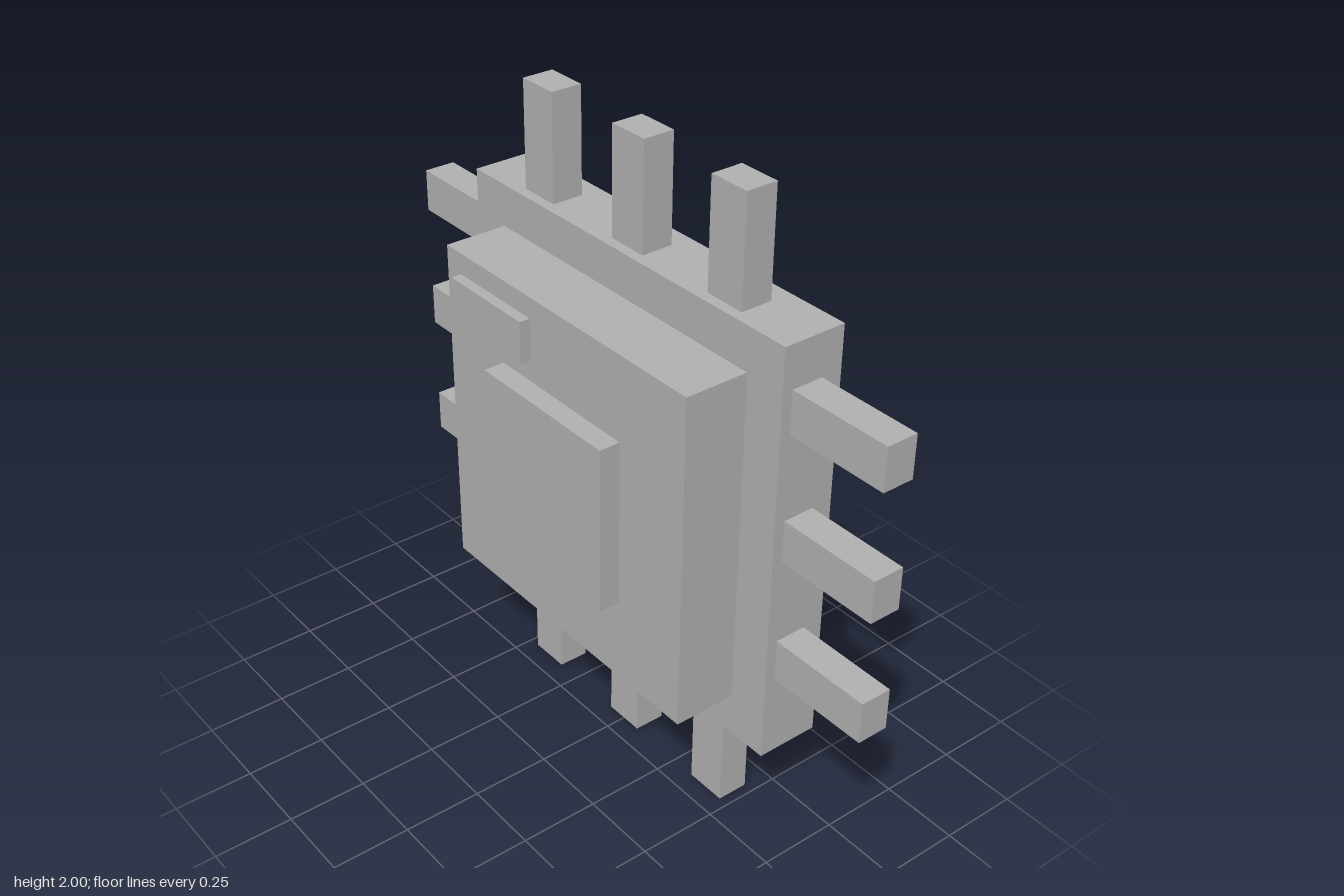
import * as THREE from 'three';

export function createModel() {
  const model = new THREE.Group();
  model.name = 'microchip';

  const grey = new THREE.MeshStandardMaterial({ color: 0xb0b0b0 });
  grey.name = 'grey';

  // All sizes are whole steps of a 1/15 grid
  const u = 1 / 15;
  const block = (name, [w, h, d], [x, y, z], parent = model) => {
    const mesh = new THREE.Mesh(new THREE.BoxGeometry(w * u, h * u, d * u), grey);
    mesh.name = name;
    mesh.position.set(x * u, y * u, z * u);
    parent.add(mesh);
    return mesh;
  };

  // Stacked body, from back to front
  block('basePlate', [20, 20, 3], [0, 15, -2]);
  block('raisedCasing', [16, 16, 3], [0, 15, 1]);
  block('centreDie', [8, 8, 1], [0, 15, 3]);
  block('cornerMarker', [5, 2, 0.5], [-4.5, 21, 2.75]);

  // Three pins on each edge
  const pins = new THREE.Group();
  pins.name = 'pins';
  model.add(pins);
  const pinZ = -1.75;
  for (const i of [-1, 0, 1]) {
    block('topPin', [2, 5, 1.5], [i * 6, 27.5, pinZ], pins);
    block('bottomPin', [2, 5, 1.5], [i * 6, 2.5, pinZ], pins);
    // The side pins sit one step above centre
    block('leftPin', [5, 2, 1.5], [12.5, 16 + i * 6, pinZ], pins);
    block('rightPin', [5, 2, 1.5], [-12.5, 16 + i * 6, pinZ], pins);
  }

  return model;
}
